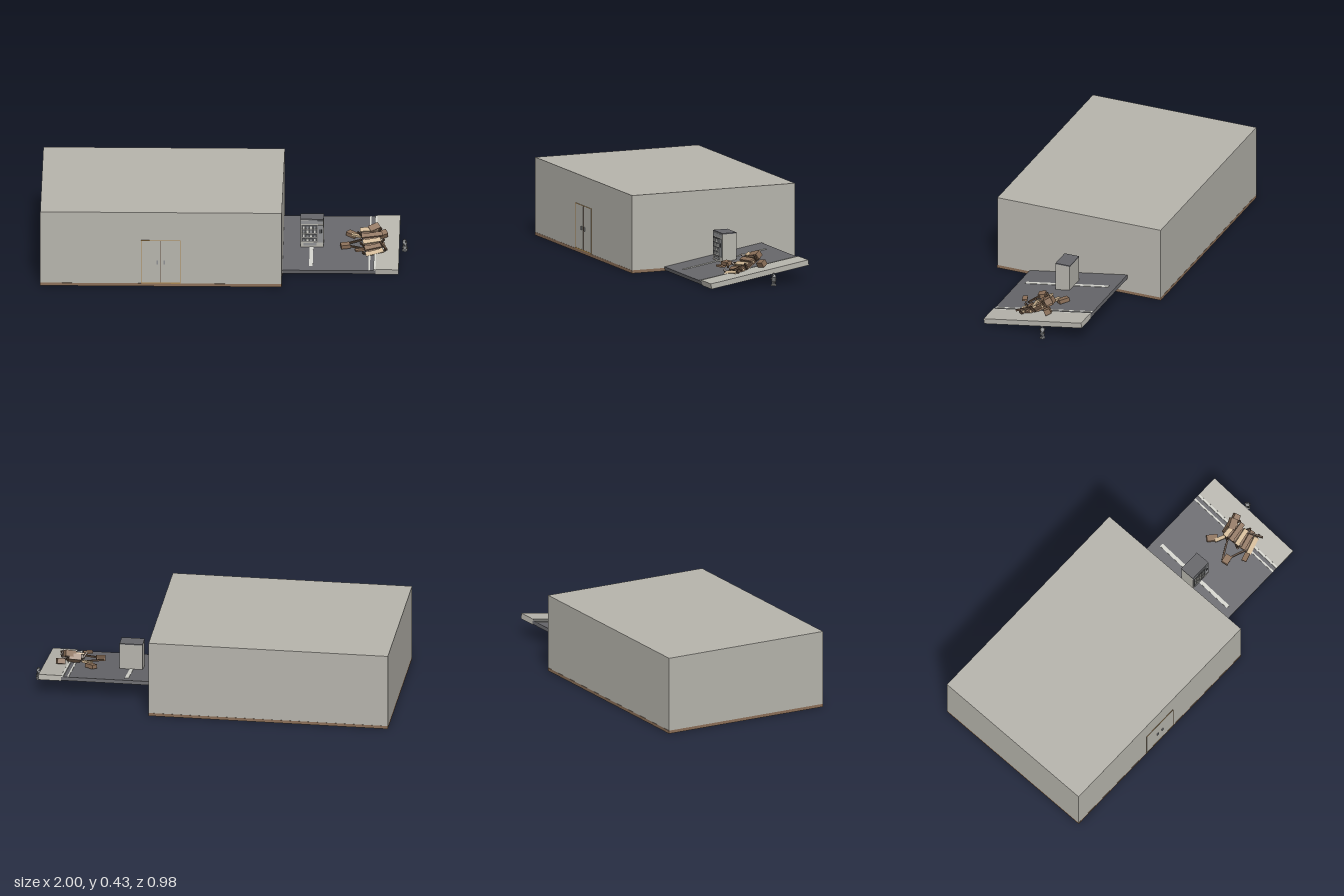
import * as THREE from 'three';

const mat = (name, color) => {
  const m = new THREE.MeshStandardMaterial({ color, flatShading: true });
  m.name = name;
  return m;
};

export function createModel() {
  const root = new THREE.Group();
  root.name = 'streetCorner';
  const M = {
    wall: mat('concrete', 0xb6b4ac),
    brown: mat('brownWood', 0x8b6f58),
    asphalt: mat('asphalt', 0x66666a),
    white: mat('roadPaint', 0xd2d2cb),
    tan: mat('paleWood', 0xcdb491),
    dark: mat('darkWood', 0x5e4a3a),
    metal: mat('darkMetal', 0x4c4d4f),
    ochre: mat('doorTrim', 0xa98550),
    grey: mat('greyMetal', 0x8e9092),
  };

  // box given by its centre and size
  const box = (parent, name, m, pos, size, rot = [0, 0, 0]) => {
    const b = new THREE.Mesh(new THREE.BoxGeometry(...size), m);
    b.name = name;
    b.position.set(...pos);
    b.rotation.set(...rot);
    parent.add(b);
    return b;
  };
  const group = (name, pos = [0, 0, 0], rot = [0, 0, 0]) => {
    const g = new THREE.Group();
    g.name = name;
    g.position.set(...pos);
    g.rotation.set(...rot);
    root.add(g);
    return g;
  };

  // building on its wooden floor slab
  const house = group('building');
  box(house, 'walls', M.wall, [-0.34, 0.2275, -0.002], [1.32, 0.415, 0.972]);
  box(house, 'floorSlab', M.brown, [-0.34, 0.0115, -0.002], [1.32, 0.017, 0.974]);

  // double door with thin trim
  const door = group('door', [-0.341, 0, 0.485]);
  box(door, 'doorSill', M.ochre, [0, 0.023, 0], [0.214, 0.007, 0.006]);
  box(door, 'doorLintel', M.ochre, [0, 0.271, 0], [0.214, 0.003, 0.004]);
  box(door, 'doorSplit', M.dark, [0, 0.148, 0], [0.003, 0.243, 0.004]);
  for (const s of [-1, 1]) {
    box(door, 'doorPanel', M.wall, [s * 0.053, 0.148, 0], [0.103, 0.243, 0.003]);
    box(door, 'doorJamb', M.ochre, [s * 0.1065, 0.148, 0], [0.002, 0.247, 0.004]);
    box(door, 'doorHandle', M.grey, [s * 0.019, 0.145, 0.003], [0.01, 0.022, 0.006]);
  }

  // sloping street
  const street = group('street', [0, 0.065, 0], [0.158, 0, 0]);
  box(street, 'road', M.asphalt, [0.575, -0.002, 0], [0.51, 0.02, 0.588]);
  box(street, 'sidewalk', M.wall, [0.8925, 0, 0], [0.125, 0.03, 0.588]);
  box(street, 'centreLine', M.white, [0.475, 0.0085, 0], [0.02, 0.003, 0.5]);
  box(street, 'edgeLine', M.white, [0.794, 0.0085, 0], [0.009, 0.003, 0.586]);
  box(street, 'curb', M.white, [0.824, 0.009, 0], [0.012, 0.01, 0.587]);

  // vending machine standing through the road
  const vend = group('vendingMachine', [0.478, 0, 0]);
  box(vend, 'cabinet', M.wall, [0, 0.114, 0], [0.126, 0.22, 0.084]);
  box(vend, 'cabinetTop', M.asphalt, [0, 0.226, 0], [0.127, 0.006, 0.086]);
  box(vend, 'headerBand', M.grey, [0, 0.211, 0.043], [0.12, 0.02, 0.003]);
  box(vend, 'displayWindow', M.metal, [-0.015, 0.145, 0.043], [0.087, 0.1, 0.005]);
  box(vend, 'controlPanel', M.grey, [0.046, 0.145, 0.043], [0.026, 0.1, 0.006]);
  box(vend, 'coinPlate', M.metal, [0.046, 0.16, 0.0465], [0.014, 0.022, 0.003]);
  box(vend, 'deliveryFlap', M.grey, [-0.012, 0.083, 0.043], [0.07, 0.014, 0.005]);
  for (let r = 0; r < 4; r++) {
    box(vend, 'shelf', M.wall, [-0.015, 0.101 + r * 0.024, 0.046], [0.082, 0.003, 0.003]);
    for (let c = 0; c < 4; c++) {
      box(vend, 'product', (r + c) % 2 ? M.white : M.grey,
        [-0.045 + c * 0.02, 0.109 + r * 0.024, 0.046], [0.01, 0.013, 0.003]);
    }
  }
  box(vend, 'foot', M.wall, [0, 0.025, 0.046], [0.02, 0.04, 0.008]);

  // broken wooden cart lying on the slope
  const cart = group('brokenCart', [0.805, 0.087, 0.035], [0.56, 0.2, 0]);
  box(cart, 'cartBed', M.brown, [0, 0, 0], [0.068, 0.034, 0.2]);
  for (let i = 0; i < 5; i++) {
    const z = -0.08 + i * 0.04;
    box(cart, 'slat', i % 2 ? M.brown : M.tan, [(i % 2) * 0.008, 0.021, z],
      [0.1 + (i % 2) * 0.015, 0.01, 0.027], [0, (i - 2) * 0.06, 0]);
  }
  for (const s of [-1, 1]) {
    box(cart, 'sideRail', M.dark, [s * 0.04, 0.008, 0.005], [0.012, 0.026, 0.19]);
    for (const z of [-0.065, 0.01, 0.075]) {
      box(cart, 'post', M.dark, [s * 0.054, 0.014, z], [0.009, 0.05, 0.01], [0.1, 0, s * -0.5]);
      box(cart, 'railBand', M.tan, [s * 0.041, 0.008, z + 0.02], [0.013, 0.028, 0.006]);
    }
  }
  box(cart, 'endBlock', M.brown, [0.03, 0.015, -0.085], [0.06, 0.035, 0.04], [0, 0.3, 0]);

  // loose planks and blocks around the cart
  const debris = group('debris');
  box(debris, 'looseBlock', M.brown, [0.66, 0.087, 0.07], [0.05, 0.022, 0.038], [0.15, 0.2, 0]);
  box(debris, 'looseBlock', M.brown, [0.695, 0.099, -0.07], [0.06, 0.022, 0.035], [0.15, -0.7, 0]);
  box(debris, 'loosePlank', M.tan, [0.72, 0.105, -0.035], [0.06, 0.012, 0.02], [0.15, -0.4, 0]);
  box(debris, 'looseStick', M.dark, [0.695, 0.088, 0.025], [0.12, 0.009, 0.01], [0.15, 0.5, 0]);
  box(debris, 'looseStick', M.dark, [0.72, 0.085, 0.09], [0.1, 0.009, 0.01], [0.15, -0.35, 0]);
  box(debris, 'loosePlank', M.brown, [0.74, 0.088, 0.138], [0.05, 0.01, 0.028], [0, 0.3, 0]);
  box(debris, 'looseStick', M.dark, [0.868, 0.095, 0.09], [0.01, 0.01, 0.09], [0.2, 0.45, 0]);
  box(debris, 'looseBlock', M.brown, [0.865, 0.108, -0.05], [0.045, 0.03, 0.035], [0.5, 0.4, 0]);

  // small hydrant beside the sidewalk
  const hydrant = group('hydrant', [0.983, 0.003, -0.07]);
  const profile = [[0, 0], [0.015, 0], [0.015, 0.007], [0.009, 0.011], [0.009, 0.022],
    [0.013, 0.024], [0.013, 0.029], [0.009, 0.032], [0.009, 0.045], [0.013, 0.047],
    [0.013, 0.052], [0.009, 0.06], [0.004, 0.064], [0.004, 0.069], [0, 0.069]];
  const body = new THREE.Mesh(
    new THREE.LatheGeometry(profile.map(([x, y]) => new THREE.Vector2(x, y)), 12), M.grey);
  body.name = 'hydrantBody';
  hydrant.add(body);
  for (let i = 0; i < 3; i++) {
    const nozzle = new THREE.Mesh(new THREE.CylinderGeometry(0.005, 0.005, 0.032, 8), M.metal);
    nozzle.name = 'hydrantNozzle';
    nozzle.position.y = 0.017 + i * 0.0195;
    nozzle.rotation.set(0, (i * Math.PI) / 3, Math.PI / 2);
    hydrant.add(nozzle);
  }
  return root;
}
